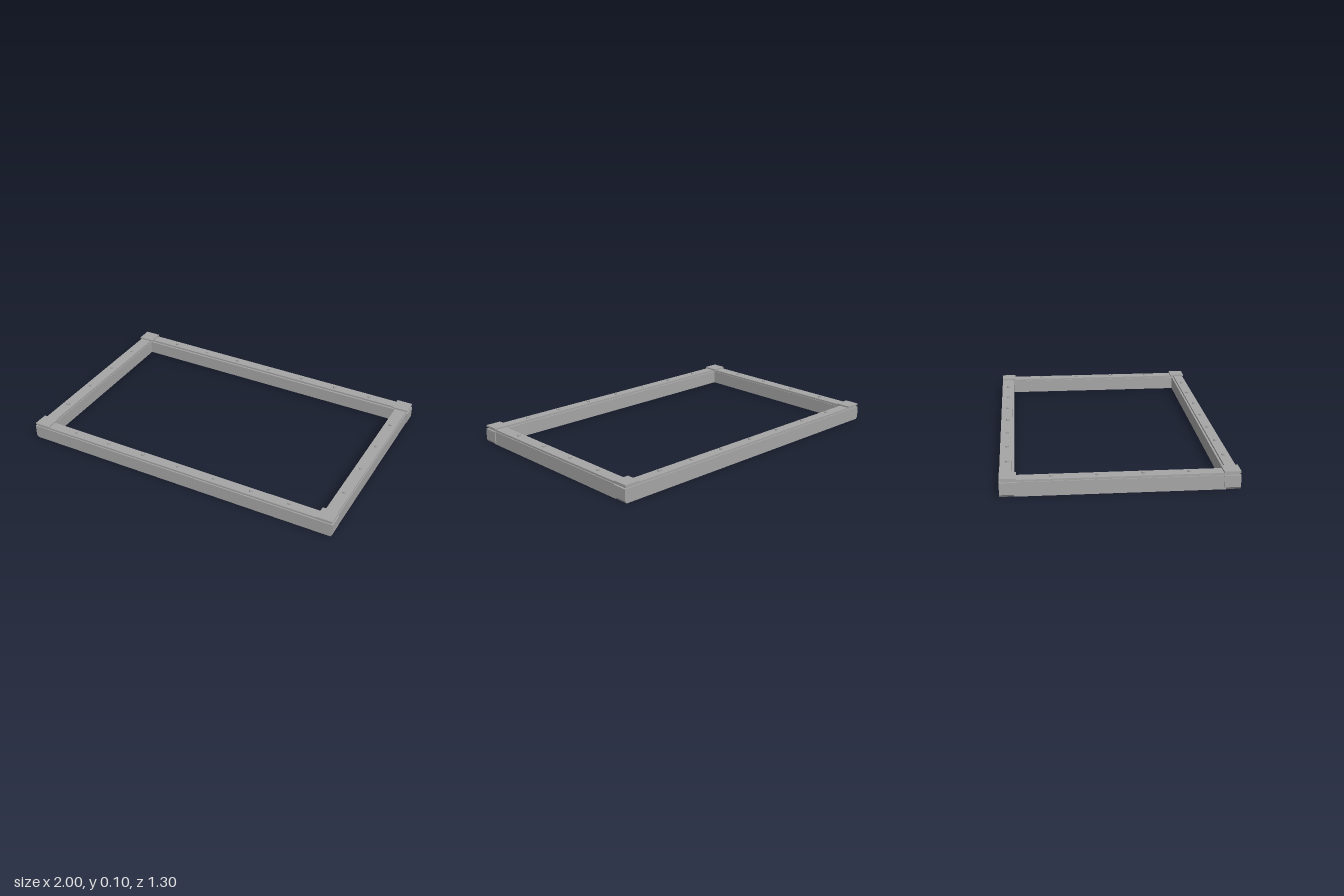
import * as THREE from 'three';

export function createModel() {
  const model = new THREE.Group();
  const steel = new THREE.MeshStandardMaterial({ color: 0xa6a6a6 });
  steel.name = 'grey steel';

  const add = (name, geometry, x = 0, y = 0, z = 0) => {
    const mesh = new THREE.Mesh(geometry, steel);
    mesh.name = name;
    mesh.position.set(x, y, z);
    model.add(mesh);
    return mesh;
  };
  // Box given by its limits on each axis
  const block = (name, x0, x1, y0, y1, z0, z1) =>
    add(name, new THREE.BoxGeometry(x1 - x0, y1 - y0, z1 - z0),
      (x0 + x1) / 2, (y0 + y1) / 2, (z0 + z1) / 2);
  // Outline in x and y, extruded along z
  const prism = (name, points, z0, z1) =>
    add(name, new THREE.ExtrudeGeometry(
      new THREE.Shape(points.map(([x, y]) => new THREE.Vector2(x, y))),
      { depth: z1 - z0, bevelEnabled: false }), 0, 0, z0);
  // Span between two distances from the centre, on side s
  const span = (s, inner, outer) => (s > 0 ? [inner, outer] : [-outer, -inner]);

  const railTop = 0.082, stripTop = 0.094, plateTop = 0.104;
  const bolt = new THREE.CylinderGeometry(0.01, 0.01, 0.012, 16);
  const boltY = stripTop + 0.003;

  for (const s of [-1, 1]) {
    const side = s > 0 ? 'left' : 'right';
    const end = s > 0 ? 'front' : 'back';

    // Long rail with chamfered lower ends and a recessed top strip
    prism(end + 'Rail', [[-0.99, 0], [0.99, 0], [1, 0.014], [1, railTop], [-1, railTop], [-1, 0.014]],
      ...span(s, 0.572, 0.652));
    block(end + 'TopStrip', -0.988, 0.988, railTop, stripTop, ...span(s, 0.583, 0.645));
    for (let i = -3; i <= 3; i++) add(end + 'Bolt', bolt, i * 0.24, boltY, s * 0.61);

    // Short rail and its top strip
    block(side + 'Rail', ...span(s, 0.912, 0.993), 0, railTop, -0.572, 0.572);
    block(side + 'TopStrip', ...span(s, 0.916, 0.988), railTop, stripTop, -0.583, 0.583);
    for (let i = 0; i < 4; i++) add(side + 'Bolt', bolt, s * 0.952, boltY, -0.375 + i * 0.25);

    // Corner cover plates and the wrapped outer lips
    for (const t of [-1, 1]) {
      block('cornerPlate', ...span(s, 0.9, 0.996), stripTop, plateTop, ...span(t, 0.56, 0.652));
      block('cornerLip', ...span(s, 0.985, 1), 0.014, railTop, ...span(t, 0.56, 0.572));
    }
  }
  return model;
}
